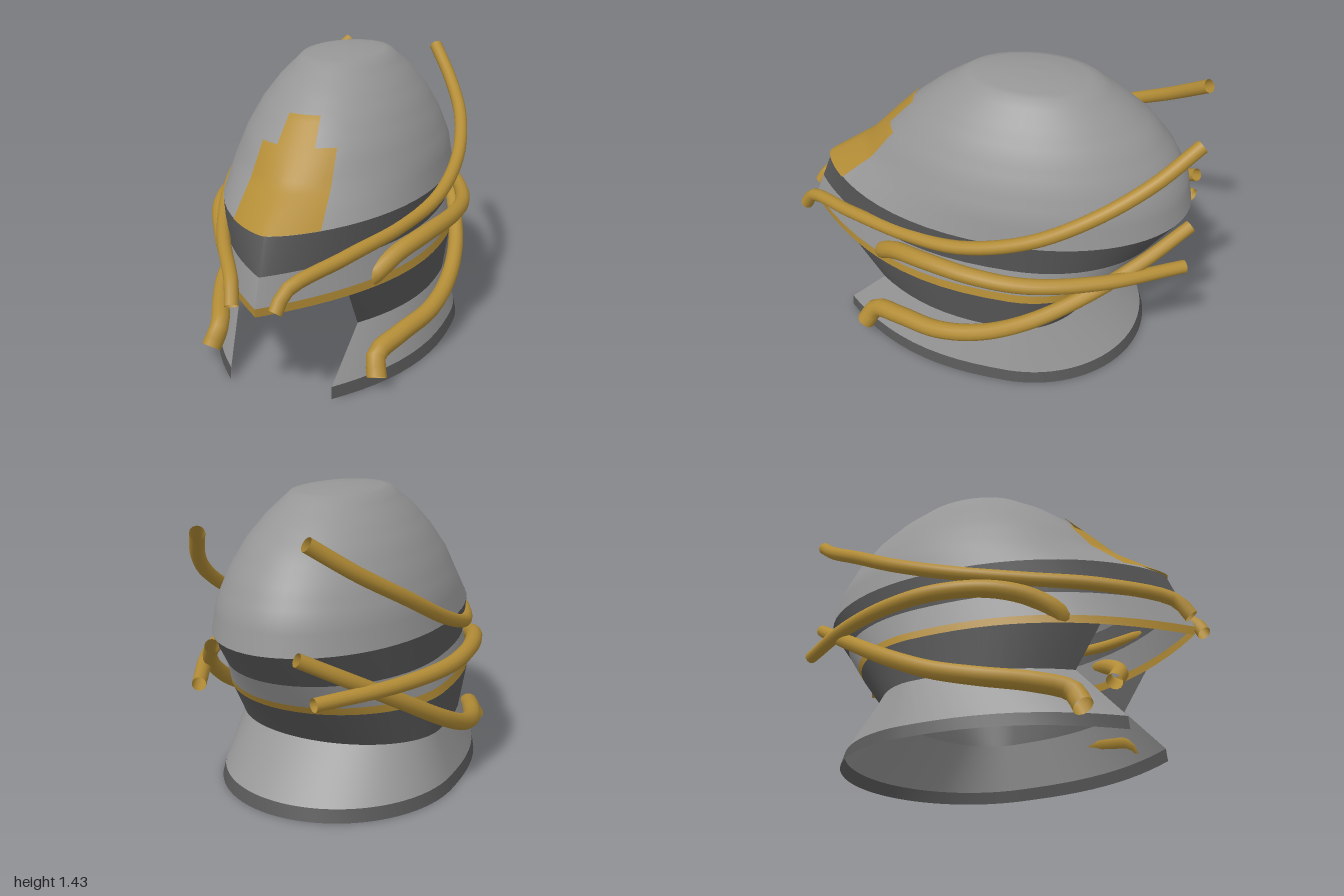
import * as THREE from 'three';
import { mergeVertices } from 'three/addons/utils/BufferGeometryUtils.js';

const ZC = -0.2; // depth of the widest point of every ring

// Ring levels: y, half width, front z, back z, front curve q and r, half width of the face opening
const L = (y, w, f, b, q, r, cut = 0) => ({ y, w, f, b, q, r, cut });
const DOME = [
  L(0.81, 0.525, 0.845, -0.97, 2.2, 0.72),
  L(0.95, 0.5, 0.63, -0.94, 2.1, 0.6),
  L(1.08, 0.45, 0.505, -0.87, 2, 0.5),
  L(1.2, 0.385, 0.39, -0.77, 2, 0.5),
  L(1.3, 0.31, 0.27, -0.65, 2, 0.5),
  L(1.4, 0.21, 0.12, -0.5, 2, 0.5),
  L(1.42, 0.11, -0.03, -0.36, 2, 0.5),
  L(1.428, 0.001, -0.199, -0.201, 2, 0.5),
];
const BROW = [L(0.65, 0.505, 0.91, -0.85, 2.4, 0.95), DOME[0]];
const VISOR = [L(0.525, 0.53, 0.96, -0.76, 2.4, 1), BROW[0]];
const TRIM = [L(0.485, 0.538, 0.955, -0.73, 2.4, 1), VISOR[0]];
const NECK = [L(0.29, 0.515, 0.79, -0.575, 2.5, 1, 0.3), { ...TRIM[0], cut: 0.3 }];
const SKIRT = [L(0.06, 0.575, 0.94, -0.79, 2.5, 1, 0.25), NECK[0]];
const RIM = [L(0, 0.588, 0.94, -0.81, 2.5, 1, 0.25), SKIRT[0]];

// Level at any height, blended between the two rows around it
function levelAt(rows, y) {
  let i = 0;
  while (i < rows.length - 2 && y > rows[i + 1].y) i++;
  const a = rows[i], b = rows[i + 1], t = (y - a.y) / (b.y - a.y), out = {};
  for (const k in a) out[k] = a[k] + (b[k] - a[k]) * t;
  return out;
}

// Relative depth of the front curve at a given x
const frontS = (l, x) => Math.pow(1 - Math.pow(Math.abs(x) / l.w, 1 / l.r), 1 / l.q);

// One ring from the front on +x, round the back, to the front on -x
function ring(l, n = 32) {
  const start = Math.asin(frontS(l, l.cut));
  const half = [];
  for (let j = 0; j <= n; j++) {
    const a = start + (-Math.PI / 2 - start) * (j / n);
    const s = Math.sin(a);
    const x = a > 0 ? l.w * Math.pow(Math.max(0, 1 - Math.pow(s, l.q)), l.r) : l.w * Math.cos(a);
    half.push([x, l.y, ZC + (a > 0 ? (l.f - ZC) * s : (ZC - l.b) * s)]);
  }
  return half.concat(half.slice(0, -1).reverse().map(([x, y, z]) => [-x, y, z]));
}

// Surface through rows of equal length
function loft(rows) {
  const m = rows[0].length, index = [];
  for (let i = 0; i < rows.length - 1; i++)
    for (let j = 0; j < m - 1; j++) {
      const a = i * m + j, c = a + m;
      index.push(a, a + 1, c, a + 1, c + 1, c);
    }
  const g = new THREE.BufferGeometry();
  g.setAttribute('position', new THREE.Float32BufferAttribute(rows.flat(2), 3));
  g.setIndex(index);
  return g;
}

// Thin plate lying on the front of the dome
function domePlate(y0, y1, w0, w1) {
  const rows = [], ny = 14, nx = 16;
  for (let i = 0; i <= ny; i++) {
    const t = i / ny, l = levelAt(DOME, y0 + (y1 - y0) * t), w = w0 + (w1 - w0) * t;
    const row = [];
    for (let j = 0; j <= nx; j++) {
      const x = w * (2 * j / nx - 1);
      row.push([x, l.y + 0.004, ZC + (l.f - ZC) * frontS(l, x) + 0.009]);
    }
    rows.push(row);
  }
  return loft(rows);
}

// Tube along points, tapering from r0 to r1
function taperedTube(points, r0, r1, side) {
  const curve = new THREE.CatmullRomCurve3(points.map(([x, y, z]) => new THREE.Vector3(x * side, y, z)));
  const n = 40, k = 12, g = new THREE.TubeGeometry(curve, n, 1, k, false);
  const p = g.attributes.position, v = new THREE.Vector3();
  for (let i = 0; i <= n; i++) {
    const c = curve.getPointAt(i / n), r = r0 + (r1 - r0) * (i / n);
    for (let j = 0; j <= k; j++) {
      const id = i * (k + 1) + j;
      v.fromBufferAttribute(p, id).sub(c).multiplyScalar(r).add(c);
      p.setXYZ(id, v.x, v.y, v.z);
    }
  }
  return g;
}

export function createModel() {
  const group = new THREE.Group();
  const material = (name, color) => new THREE.MeshStandardMaterial({ name, color, side: THREE.DoubleSide });
  const light = material('light grey', 0x969696);
  const dark = material('dark grey', 0x585858);
  const gold = material('gold', 0xb28c36);

  const add = (name, geometry, mat) => {
    const mesh = new THREE.Mesh(geometry, mat);
    mesh.name = name;
    group.add(mesh);
  };
  const shell = (name, levels, mat, smoothSeam = false) => {
    let g = loft(levels.map((l) => ring(l)));
    if (smoothSeam) g = mergeVertices(g, 1e-4);
    g.computeVertexNormals();
    add(name, g, mat);
  };

  // Helmet shell, from the crown down
  const domeRows = [];
  for (let i = 0; i < DOME.length - 1; i++)
    for (let k = 0; k < 3; k++)
      domeRows.push(levelAt(DOME, DOME[i].y + (DOME[i + 1].y - DOME[i].y) * (k / 3)));
  domeRows.push(DOME[DOME.length - 1]);
  shell('dome', domeRows, light, true);
  shell('browBand', BROW, dark);
  shell('visorBand', VISOR, light);
  shell('visorTrim', TRIM, gold);
  shell('neckBand', NECK, dark);
  shell('neckSkirt', SKIRT, light);
  shell('skirtRim', RIM, dark);

  // Stepped forehead plate
  [['foreheadPlate', 0.81, 1.097, 0.205, 0.178], ['foreheadPlateTop', 1.097, 1.215, 0.09, 0.075]].forEach(
    ([name, y0, y1, w0, w1]) => {
      const g = domePlate(y0, y1, w0, w1);
      g.computeVertexNormals();
      add(name, g, gold);
    });

  // Swept tubes on both sides
  const tubes = {
    upperTube: { r: [0.032, 0.033], pts: [[0.1, 0.53, 0.975], [0.125, 0.61, 0.92], [0.29, 0.675, 0.65],
      [0.44, 0.715, 0.32], [0.535, 0.77, 0.02], [0.555, 0.88, -0.3], [0.5, 1.02, -0.57],
      [0.385, 1.16, -0.8], [0.255, 1.3, -0.975]] },
    middleTube: { r: [0.045, 0.031], pts: [[0.29, 0.455, 0.46], [0.365, 0.53, 0.465], [0.44, 0.605, 0.37],
      [0.53, 0.65, 0.2], [0.595, 0.66, -0.05], [0.59, 0.65, -0.3], [0.485, 0.645, -0.62], [0.28, 0.645, -0.98]] },
    lowerTube: { r: [0.048, 0.031], pts: [[0.42, 0.07, 0.575], [0.4, 0.155, 0.52], [0.465, 0.2, 0.37],
      [0.55, 0.235, 0.15], [0.58, 0.295, -0.07], [0.565, 0.4, -0.3], [0.485, 0.545, -0.55],
      [0.36, 0.69, -0.78], [0.205, 0.825, -0.98]] },
  };
  for (const [name, { r, pts }] of Object.entries(tubes))
    for (const side of [1, -1])
      add(name + (side > 0 ? 'Left' : 'Right'), taperedTube(pts, r[0], r[1], side), gold);

  return group;
}
